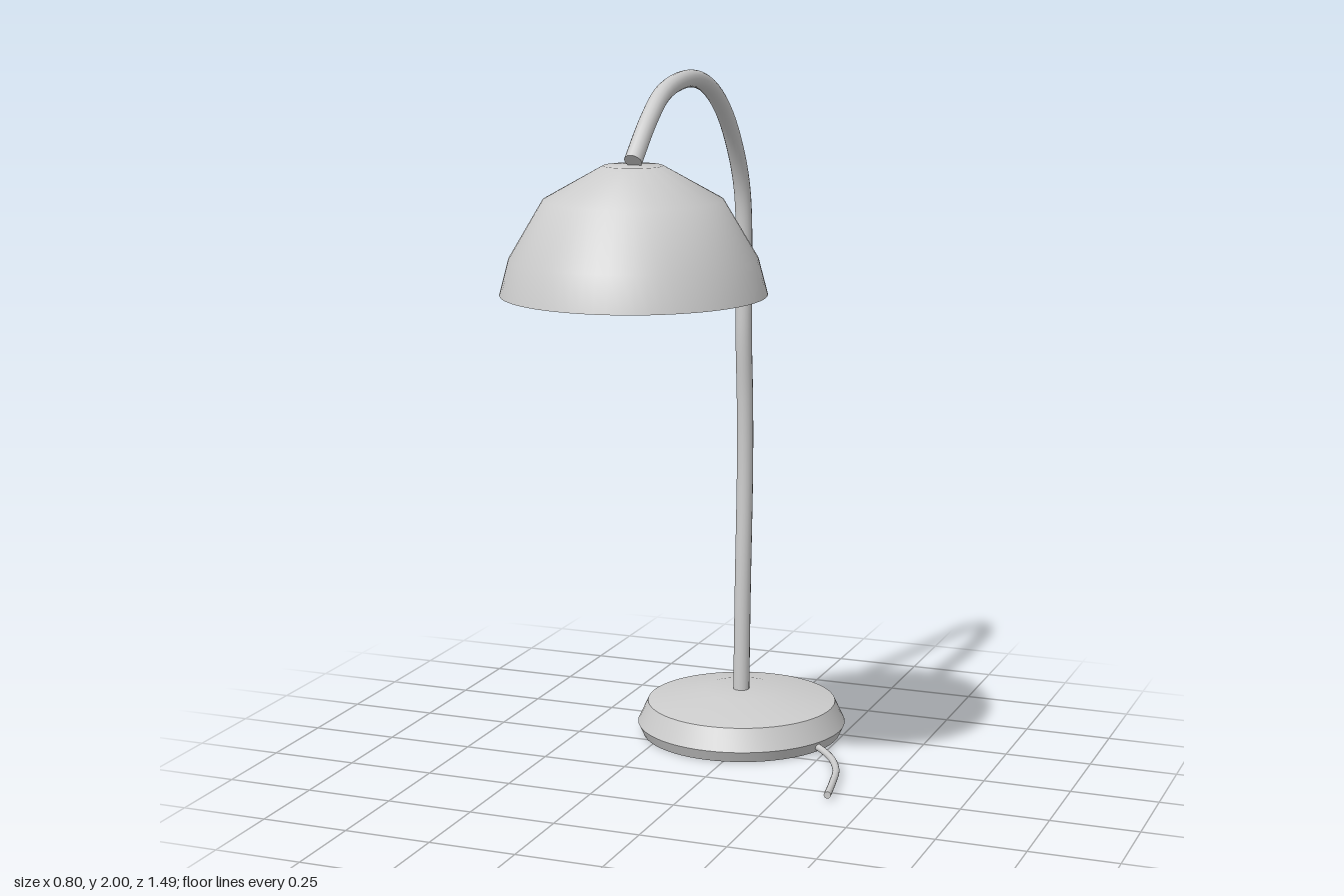
import * as THREE from 'three';
import { toCreasedNormals } from 'three/addons/utils/BufferGeometryUtils.js';

const CENTRE_X = -0.05, BASE_Z = -0.435, SHADE_Z = 0.395;

export function createModel() {
  const lamp = new THREE.Group();
  lamp.name = 'deskLamp';
  const grey = new THREE.MeshStandardMaterial({ color: 0xcccccc });
  grey.name = 'light grey';

  const add = (name, geometry, x = 0, y = 0, z = 0) => {
    const mesh = new THREE.Mesh(geometry, grey);
    mesh.name = name;
    mesh.position.set(x, y, z);
    lamp.add(mesh);
  };

  // Turned part from [radius, height] pairs, sharp only at strong edges
  const turned = (profile) => toCreasedNormals(
    new THREE.LatheGeometry(profile.map(([r, y]) => new THREE.Vector2(r, y)), 64), 0.7);

  // Round tube through the points, closed by a disc at each end
  const tube = (name, points, radius, steps) => {
    const curve = new THREE.CatmullRomCurve3(points.map((p) => new THREE.Vector3(...p)));
    add(name, new THREE.TubeGeometry(curve, steps, radius, 16));
    for (const [t, sign] of [[0, -1], [1, 1]]) {
      const cap = new THREE.CircleGeometry(radius, 16);
      const out = curve.getTangentAt(t).multiplyScalar(sign);
      cap.applyQuaternion(new THREE.Quaternion().setFromUnitVectors(new THREE.Vector3(0, 0, 1), out));
      const p = curve.getPointAt(t);
      add(name + 'Cap', cap, p.x, p.y, p.z);
    }
  };

  // Weighted foot
  add('base', turned([
    [0, 0], [0.295, 0], [0.31, 0.033], [0.28, 0.097], [0.11, 0.132], [0, 0.132],
  ]), CENTRE_X, 0, BASE_Z);

  // Gooseneck arm, given as [z, y] up from the base and over to the shade
  const arm = [
    [-0.432, 0.11], [-0.443, 0.44], [-0.459, 0.8], [-0.457, 1.0], [-0.445, 1.2],
    [-0.447, 1.42], [-0.428, 1.63], [-0.355, 1.775], [-0.26, 1.88], [-0.14, 1.95],
    [0, 1.976], [0.185, 1.95], [0.29, 1.885], [0.395, 1.79],
  ];
  tube('arm', arm.map(([z, y]) => [CENTRE_X, y, z]), 0.024, 80);

  // Hollow shade: down the inside, around the rim and up the outside
  add('shade', turned([
    [0, 1.762], [0.075, 1.762], [0.222, 1.677], [0.309, 1.535], [0.333, 1.445],
    [0.35, 1.445], [0.325, 1.54], [0.235, 1.692], [0.078, 1.78], [0, 1.78],
  ]), CENTRE_X, 0, SHADE_Z);

  // Bulb and its socket
  add('bulb', new THREE.SphereGeometry(0.087, 32, 20), CENTRE_X, 1.56, SHADE_Z);
  add('socket', new THREE.CylinderGeometry(0.035, 0.035, 0.15, 24), CENTRE_X, 1.69, SHADE_Z);

  // Power cord lying on the table
  tube('cord', [
    [0.215, 0.016, -0.335], [0.25, 0.016, -0.3], [0.3, 0.016, -0.235],
    [0.343, 0.016, -0.145], [0.367, 0.016, -0.04], [0.386, 0.016, 0.065],
  ], 0.01, 24);

  return lamp;
}
